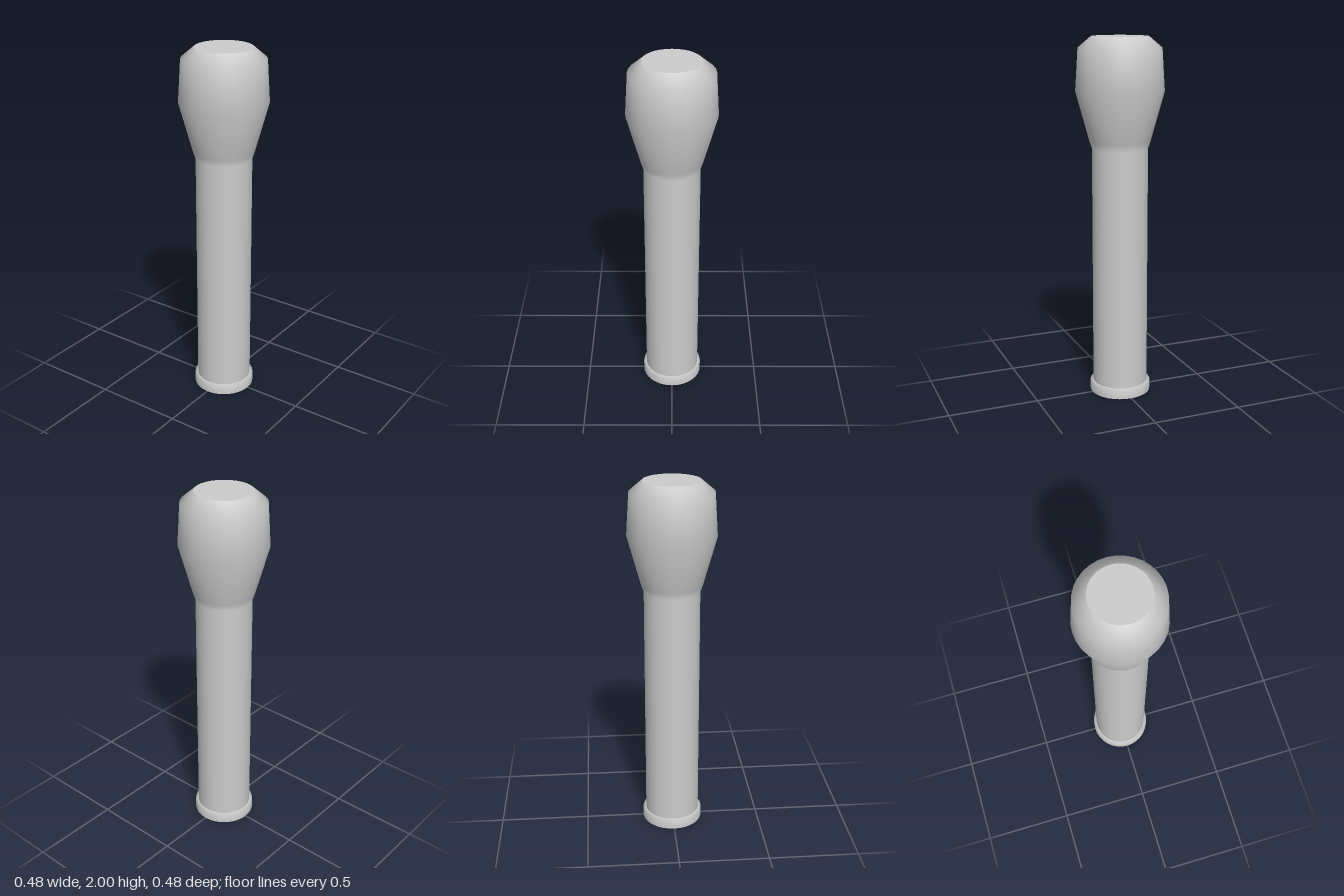
import * as THREE from 'three';

const SIDES = 32;

export function createModel() {
  const group = new THREE.Group();
  const material = new THREE.MeshStandardMaterial({ color: 0xcccccc });

  const add = (name, geometry) => {
    const mesh = new THREE.Mesh(geometry, material);
    mesh.name = name;
    group.add(mesh);
    return mesh;
  };
  // Smooth turned part from [radius, height] pairs, listed bottom to top
  const turned = (name, profile) =>
    add(name, new THREE.LatheGeometry(profile.map(([r, y]) => new THREE.Vector2(r, y)), SIDES));
  // Flat disc facing up (1) or down (-1)
  const disc = (name, radius, y, facing) => {
    const mesh = add(name, new THREE.CircleGeometry(radius, SIDES));
    mesh.rotation.x = -facing * Math.PI / 2;
    mesh.position.y = y;
  };

  // Handle flowing into the flared, chamfered head
  turned('handleAndHead', [
    [0.153, 0.05], [0.153, 1.4], [0.167, 1.44], [0.241, 1.71], [0.226, 1.94], [0.155, 2],
  ]);
  disc('headTop', 0.155, 2, 1);

  // Rim around the foot of the handle
  turned('footRim', [[0.17, 0], [0.17, 0.055], [0.153, 0.057]]);
  disc('footBottom', 0.17, 0, -1);

  return group;
}
